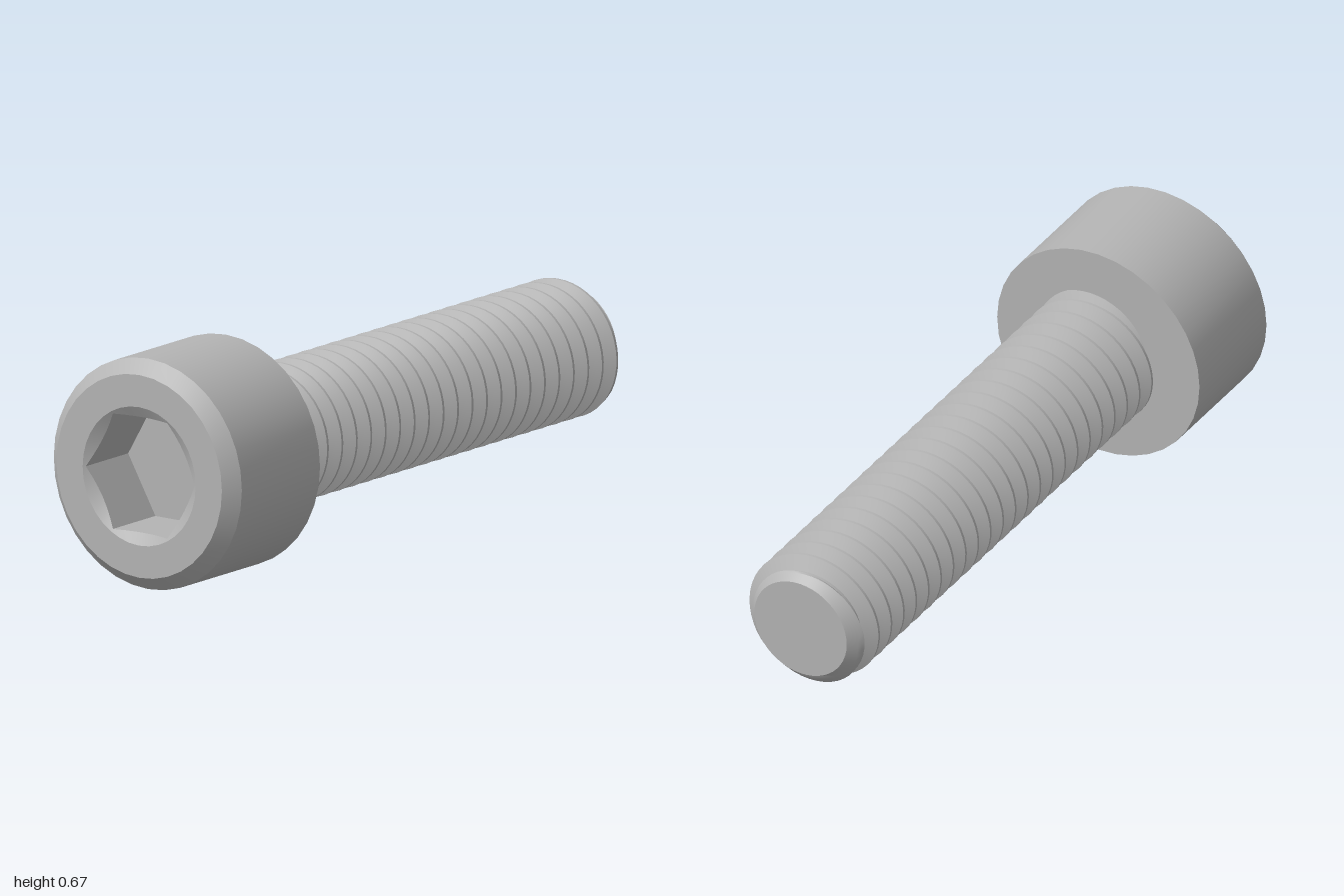
import * as THREE from 'three';
import { toCreasedNormals } from 'three/addons/utils/BufferGeometryUtils.js';

const HEAD_R = 0.333, HEAD_X = -1, SHOULDER_X = -0.6, TIP_X = 1;
const PITCH = 1 / 15, CREST_R = 0.202, ROOT_R = 0.16, TIP_R = 0.152;
const CREST_X = -0.543; // a thread crest on the top of the shaft

// Surface around the x axis: point(i, angle) returns [x, radius] for profile row i.
function around(rows, segments, point) {
  const pos = [], index = [], n = segments + 1;
  for (let i = 0; i < rows; i++) {
    for (let j = 0; j <= segments; j++) {
      const a = (j / segments) * Math.PI * 2;
      const [x, r] = point(i, a);
      pos.push(x, r * Math.cos(a), r * Math.sin(a));
    }
  }
  for (let i = 0; i < rows - 1; i++) {
    for (let j = 0; j < segments; j++) {
      const a = i * n + j, b = a + 1, c = a + n, d = c + 1;
      index.push(a, b, c, b, d, c);
    }
  }
  const g = new THREE.BufferGeometry();
  g.setAttribute('position', new THREE.Float32BufferAttribute(pos, 3));
  g.setIndex(index);
  return toCreasedNormals(g, Math.PI / 7);
}

// Thread radius at a place on the shaft, cut by the chamfer at the tip.
function threadRadius(x, angle) {
  const u = (x - CREST_X) / PITCH - angle / (Math.PI * 2);
  const d = Math.abs(u - Math.round(u));
  const k = THREE.MathUtils.clamp((d - 0.0625) / 0.3125, 0, 1);
  return Math.min(THREE.MathUtils.lerp(CREST_R, ROOT_R, k), TIP_R + (TIP_X - x));
}

export function createModel() {
  const model = new THREE.Group();
  model.name = 'socketHeadScrew';
  const steel = new THREE.MeshStandardMaterial({ color: 0xb4b4b4 });
  steel.name = 'steel grey';

  const add = (name, geometry) => {
    const mesh = new THREE.Mesh(geometry, steel);
    mesh.name = name;
    mesh.position.y = HEAD_R;
    model.add(mesh);
  };

  // Cylinder head with a chamfered outer edge
  const rimR = 0.2;
  const headProfile = [
    [HEAD_X, rimR], [HEAD_X, 0.293], [HEAD_X + 0.04, HEAD_R],
    [SHOULDER_X, HEAD_R], [SHOULDER_X, 0.14],
  ];
  add('head', around(headProfile.length, 36, (i) => headProfile[i]));

  // Hexagonal socket: floor, walls and countersunk rim
  const sector = Math.PI / 3;
  add('hexSocket', around(4, 36, (i, a) => {
    const hexR = 0.1667 / Math.cos(a - Math.round(a / sector) * sector);
    if (i === 0) return [HEAD_X + 0.2, 0];
    if (i === 1) return [HEAD_X + 0.2, hexR];
    if (i === 2) return [HEAD_X + (rimR - hexR) * 0.6, hexR];
    return [HEAD_X, rimR];
  }));

  // Threaded shaft: profile rows follow the helix and stop at shoulder and tip
  const steps = [-0.0625, 0.0625, 0.167, 0.271, 0.375, 0.625, 0.729, 0.833];
  const turns = Math.ceil((TIP_X - SHOULDER_X) / PITCH) + 4;
  const rows = turns * steps.length;
  add('threadedShaft', around(rows + 1, 48, (i, a) => {
    if (i === rows) return [TIP_X, 0]; // end cap
    const turn = Math.floor(i / steps.length) - 3 + steps[i % steps.length];
    const along = CREST_X + PITCH * (turn + a / (Math.PI * 2));
    const x = THREE.MathUtils.clamp(along, SHOULDER_X, TIP_X);
    return [x, threadRadius(x, a)];
  }));

  return model;
}
